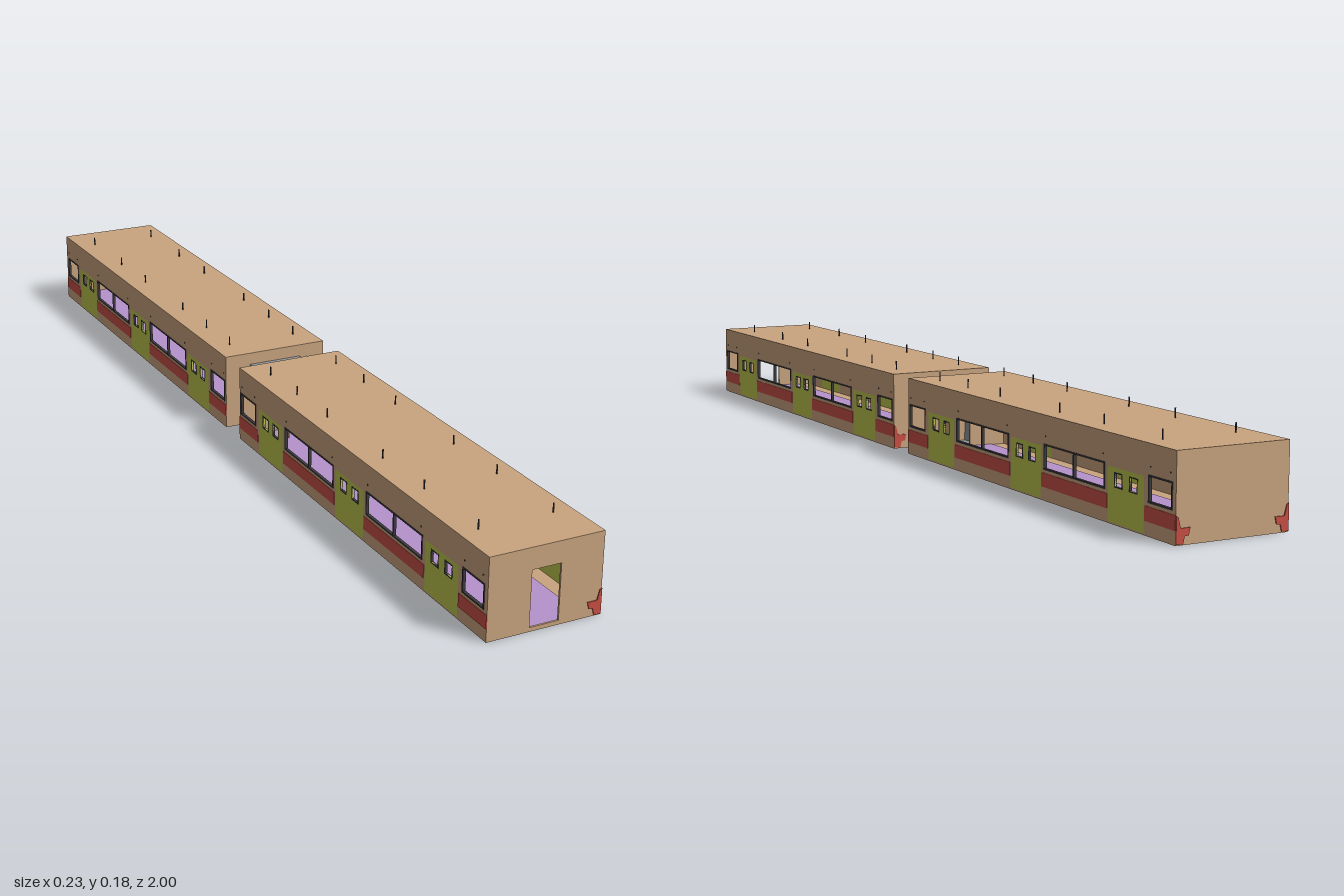
import * as THREE from 'three';

const W = 0.114, BASE = 0.002, TOP = 0.16, T = 0.004;
const NEAR = 0.034, FAR = 0.998; // car ends, measured from the coupling
const mat = (color) => new THREE.MeshStandardMaterial({ color, side: THREE.DoubleSide });

// doors [centre], windows [from, to] along one car
const DOORS = [0.18, 0.515, 0.85], DOOR_HALF = 0.055;
const WINDOWS = [[0.04, 0.112], [0.245, 0.452], [0.58, 0.785], [0.918, 0.988]];
const WIN_LOW = 0.059, WIN_HIGH = 0.107, DOOR_TOP = 0.102;
const PINS = [0.1, 0.22, 0.35, 0.57, 0.72, 0.9];

function rect(a, b, y0, y1, Type = THREE.Shape) {
  const l = Math.min(a, b), r = Math.max(a, b);
  const p = new Type();
  p.moveTo(l, y0); p.lineTo(r, y0); p.lineTo(r, y1); p.lineTo(l, y1); p.closePath();
  return p;
}
const hole = (a, b, y0, y1) => rect(a, b, y0, y1, THREE.Path);

export function createModel() {
  const root = new THREE.Group();
  root.name = 'railCars';
  const tan = mat(0xc9a47f), red = mat(0xc94f45), green = mat(0xbdc84f);
  const purple = mat(0xb592cc), grey = mat(0x92979b), dark = mat(0x3c3c40);

  function add(parent, name, geo, material, x = 0, y = 0, z = 0) {
    const m = new THREE.Mesh(geo, material);
    m.name = name;
    m.position.set(x, y, z);
    parent.add(m);
    return m;
  }
  function box(parent, name, material, x0, x1, y0, y1, z0, z1) {
    const g = new THREE.BoxGeometry(Math.abs(x1 - x0), y1 - y0, Math.abs(z1 - z0));
    return add(parent, name, g, material, (x0 + x1) / 2, (y0 + y1) / 2, (z0 + z1) / 2);
  }
  const extrude = (shape, depth) => new THREE.ExtrudeGeometry(shape, { depth, bevelEnabled: false });
  // panel drawn in (z, y), its thickness centred on x
  function sidePanel(parent, name, shape, material, x, depth) {
    add(parent, name, extrude(shape, depth).rotateY(-Math.PI / 2), material, x + depth / 2);
  }

  function sideWall(car, s, k) {
    const x = k * (W - T / 2);
    const wall = rect(s * NEAR, s * FAR, BASE, TOP);
    for (const [a, b] of WINDOWS) wall.holes.push(hole(s * a, s * b, WIN_LOW, WIN_HIGH));
    for (const d of DOORS) wall.holes.push(hole(s * (d - DOOR_HALF), s * (d + DOOR_HALF), 0.005, DOOR_TOP));
    sidePanel(car, 'sideWall', wall, tan, x, T);

    // sliding doors with two small windows
    for (const d of DOORS) {
      const door = rect(s * (d - DOOR_HALF), s * (d + DOOR_HALF), 0.005, DOOR_TOP);
      for (const o of [-0.023, 0.023]) {
        const c = s * d + o;
        door.holes.push(hole(c - 0.011, c + 0.011, 0.069, 0.092));
        const rim = rect(c - 0.013, c + 0.013, 0.067, 0.094);
        rim.holes.push(hole(c - 0.011, c + 0.011, 0.069, 0.092));
        sidePanel(car, 'doorWindowFrame', rim, dark, x, T + 0.001);
      }
      sidePanel(car, 'sideDoor', door, green, x, T);
    }

    // window frames, the long ones with a centre post
    for (const [a, b] of WINDOWS) {
      const e = 0.003, frame = rect(s * a, s * b, WIN_LOW, WIN_HIGH);
      const long = b - a > 0.15, m = (a + b) / 2;
      const panes = long ? [[a + e, m - e / 2], [m + e / 2, b - e]] : [[a + e, b - e]];
      for (const [p, q] of panes) frame.holes.push(hole(s * p, s * q, WIN_LOW + e, WIN_HIGH - e));
      sidePanel(car, 'windowFrame', frame, dark, x, T + 0.002);
    }

    // stripe between the doors
    const stops = [NEAR, ...DOORS.flatMap((d) => [d - DOOR_HALF - 0.003, d + DOOR_HALF + 0.003]), FAR];
    for (let i = 0; i < stops.length; i += 2)
      box(car, 'sideStripe', red, k * (W - 0.001), k * (W + 0.001), 0.027, 0.053, s * stops[i], s * stops[i + 1]);
  }

  function endWall(car, z, open) {
    const wall = rect(-W, W, BASE, TOP);
    if (open) wall.holes.push(hole(-0.029, 0.029, 0.01, 0.118));
    add(car, 'endWall', extrude(wall, T), tan, 0, 0, z - T / 2);
  }

  // stripe end folded round the corner of an end wall
  function cornerFlap(car, k, z) {
    const pts = [[0.086, 0.031], [0.105, 0.031], [0.11, 0.05], [W, 0.052], [W, 0.004],
      [0.1, 0.004], [0.097, 0.017], [0.089, 0.018]];
    const shape = new THREE.Shape(pts.map(([x, y]) => new THREE.Vector2(k * x, y)));
    add(car, 'stripeCorner', extrude(shape, 0.002), red, 0, 0, z - 0.001);
  }

  function buildCar(s) {
    const car = new THREE.Group();
    car.name = s > 0 ? 'frontCar' : 'rearCar';
    root.add(car);
    for (const k of [-1, 1]) sideWall(car, s, k);
    box(car, 'roof', tan, -W, W, TOP - T, TOP, s * NEAR, s * FAR);
    box(car, 'floorBase', tan, -W + T, W - T, 0.003, 0.006, s * NEAR, s * FAR);
    box(car, 'floorStrip', purple, -0.08, 0.08, 0.0025, 0.0075, s * (NEAR + 0.002), s * (FAR - 0.002));

    // end walls: doorways at the front and the coupling, closed at the back
    endWall(car, s * (NEAR + T / 2), true);
    endWall(car, s * (FAR - T / 2), s > 0);
    const zFront = s > 0 ? FAR : -NEAR, zBack = s > 0 ? NEAR : -FAR;
    cornerFlap(car, 1, zFront + 0.001);
    for (const k of [-1, 1]) cornerFlap(car, k, zBack - 0.001);

    // hand rails and their hangers, which pass through the roof
    const mid = s * (NEAR + FAR) / 2, len = FAR - NEAR;
    for (const k of [-1, 1]) {
      const rail = new THREE.CylinderGeometry(0.0012, 0.0012, len, 6).rotateX(Math.PI / 2);
      add(car, 'handRail', rail, dark, k * 0.075, 0.133, mid);
      for (const u of PINS) {
        const pin = new THREE.CylinderGeometry(0.0014, 0.0014, 0.045, 6);
        add(car, 'railHanger', pin, dark, k * 0.075, 0.1555, s * u);
      }
      // small wall bolts above the windows
      for (const [a, b] of WINDOWS) for (const u of [a + 0.006, b - 0.006]) {
        const bolt = new THREE.CylinderGeometry(0.0015, 0.0015, 0.012, 6).rotateZ(Math.PI / 2);
        add(car, 'wallBolt', bolt, dark, k * (W - 0.005), 0.121, s * u);
      }
    }
  }
  buildCar(1);
  buildCar(-1);

  // inner door standing open beside the coupling
  box(root, 'openDoor', tan, -0.03, -0.028, 0.01, 0.118, NEAR + T, NEAR + 0.058);

  // gangway tube joining the cars
  const tube = rect(-0.058, 0.058, 0.004, 0.135);
  tube.holes.push(hole(-0.055, 0.055, 0.007, 0.132));
  add(root, 'gangway', extrude(tube, NEAR * 2), grey, 0, 0, -NEAR);
  return root;
}
